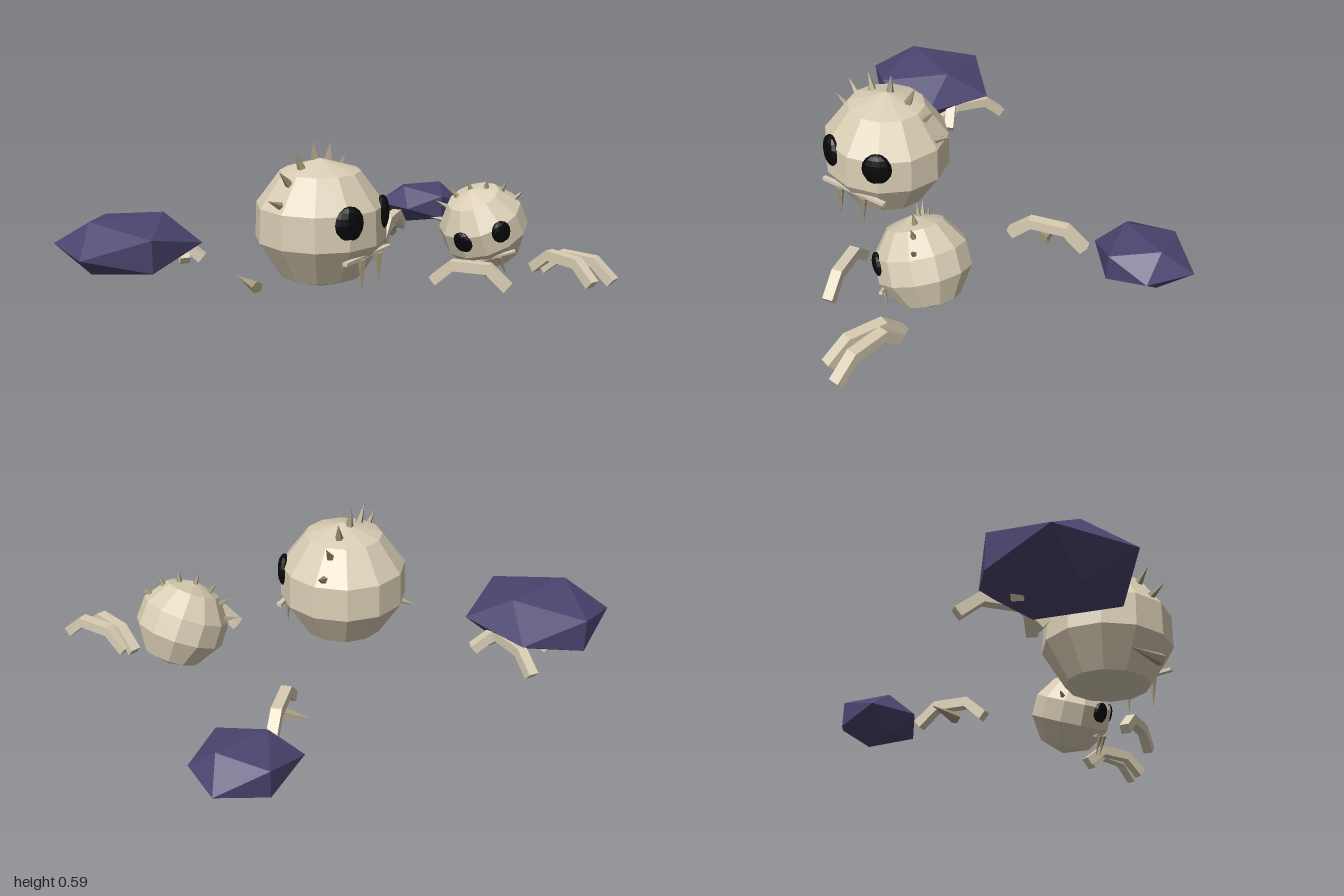
import * as THREE from 'three';

const mat = (name, color) => {
  const m = new THREE.MeshStandardMaterial({ color });
  m.name = name;
  return m;
};

// Facet a geometry so every face is flat
function flat(geometry) {
  const g = geometry.index ? geometry.toNonIndexed() : geometry;
  g.computeVertexNormals();
  return g;
}

function add(parent, name, geometry, material) {
  const mesh = new THREE.Mesh(flat(geometry), material);
  mesh.name = name;
  parent.add(mesh);
  return mesh;
}

// Cone with its base at one point and its tip at another
function addSpike(parent, name, base, tip, radius, material) {
  const a = new THREE.Vector3(...base), b = new THREE.Vector3(...tip);
  const dir = b.clone().sub(a);
  const mesh = add(parent, name, new THREE.ConeGeometry(radius, dir.length(), 5), material);
  mesh.position.copy(a).add(b).multiplyScalar(0.5);
  mesh.quaternion.setFromUnitVectors(new THREE.Vector3(0, 1, 0), dir.normalize());
}

// Spiked round skull, facing +z, centred on its own origin
function makeSkull(name, mats) {
  const skull = new THREE.Group();
  skull.name = name;

  const profile = [[0, -0.263], [0.168, -0.205], [0.263, -0.055], [0.258, 0.083], [0.16, 0.215], [0, 0.264]]
    .map(p => new THREE.Vector2(...p));
  add(skull, 'cranium', new THREE.LatheGeometry(profile, 12), mats.bone);

  for (const side of [-1, 1]) {
    const angle = side * 0.5;
    const eye = add(skull, 'eyeSocket', new THREE.SphereGeometry(0.07, 10, 8), mats.black);
    eye.scale.set(0.88, 1, 0.42);
    eye.position.set(Math.sin(angle) * 0.245, 0.05, Math.cos(angle) * 0.245);
    eye.rotation.y = angle;
    addSpike(skull, 'fang', [side * 0.06, -0.1, 0.235], [side * 0.06, -0.23, 0.235], 0.017, mats.horn);
  }

  const jaw = add(skull, 'jawBar', new THREE.BoxGeometry(0.32, 0.014, 0.02), mats.bone);
  jaw.position.set(0, -0.098, 0.222);

  // Crest of spikes running from ear to ear
  for (let i = -3; i <= 3; i++) {
    const t = i * 0.375, s = Math.sin(t), c = Math.cos(t);
    addSpike(skull, 'crestSpike', [s * 0.245, c * 0.245, -0.025], [s * 0.33, c * 0.33, -0.035], 0.019, mats.horn);
  }
  return skull;
}

// Three-part bent rib lying between two ground points
function addRib(parent, [x1, z1], [x2, z2], material) {
  const h = Math.hypot(x2 - x1, z2 - z1) / 2, w = 0.042;
  const outer = [[-h, 0.072], [-0.078, 0.147], [0.078, 0.147], [h, 0.072]];
  const inner = [[h - 0.026, 0.04], [0.066, 0.106], [-0.066, 0.106], [-h + 0.026, 0.04]];
  const shape = new THREE.Shape([...outer, ...inner].map(p => new THREE.Vector2(...p)));
  const geo = new THREE.ExtrudeGeometry(shape, { depth: w, bevelEnabled: false });
  geo.translate(0, 0, -w / 2);
  const rib = add(parent, 'rib', geo, material);
  rib.position.set((x1 + x2) / 2, 0, (z1 + z2) / 2);
  rib.rotation.y = Math.atan2(z1 - z2, x2 - x1);
}

// Squashed icosahedral rock; taper narrows it towards +z
function addRock(parent, name, position, scale, taper, material) {
  const geo = new THREE.IcosahedronGeometry(1, 0);
  const p = geo.attributes.position;
  for (let i = 0; i < p.count; i++) p.setX(i, p.getX(i) * (1 - taper * p.getZ(i)));
  geo.scale(...scale);
  const rock = add(parent, name, geo, material);
  rock.position.set(...position);
  return rock;
}

export function createModel() {
  const model = new THREE.Group();
  model.name = 'boneField';
  const mats = {
    bone: mat('bone', 0xd9cdb4),
    horn: mat('horn', 0xa3987c),
    black: mat('black', 0x080808),
    rock: mat('darkPurpleRock', 0x4b4570),
  };

  // Skulls
  const large = makeSkull('largeSkull', mats);
  large.position.set(-0.137, 0.275, 0.045);
  large.rotation.y = 0.42;
  const small = makeSkull('smallSkull', mats);
  small.position.set(0.53, 0.215, 0.25);
  small.rotation.set(0, -0.7, 0.44, 'ZYX');
  small.scale.setScalar(0.68);
  model.add(large, small);

  // Rocks
  addRock(model, 'largeRock', [-0.737, 0.15, -0.508], [0.309, 0.131, 0.303], 0, mats.rock);
  addRock(model, 'smallRock', [0.803, 0.122, -0.557], [0.205, 0.101, 0.19], 0.18, mats.rock);

  // Scattered ribs
  const ribs = [
    [[0.2, 0.325], [0.4, 0.585]],
    [[0.668, 0.4], [0.697, 0.735]],
    [[0.69, 0.43], [0.795, 0.75]],
    [[0.355, -0.245], [0.612, -0.455]],
    [[-0.457, -0.75], [-0.52, -0.42]],
    [[-0.425, -0.43], [-0.69, -0.63]],
  ];
  for (const [a, b] of ribs) addRib(model, a, b, mats.bone);

  // Loose spikes on the ground
  addSpike(model, 'looseSpike', [-0.45, 0.07, 0.09], [-0.467, 0.085, -0.055], 0.026, mats.horn);
  addSpike(model, 'looseSpike', [0.48, 0.07, -0.33], [0.43, 0.085, -0.46], 0.026, mats.horn);

  return model;
}
